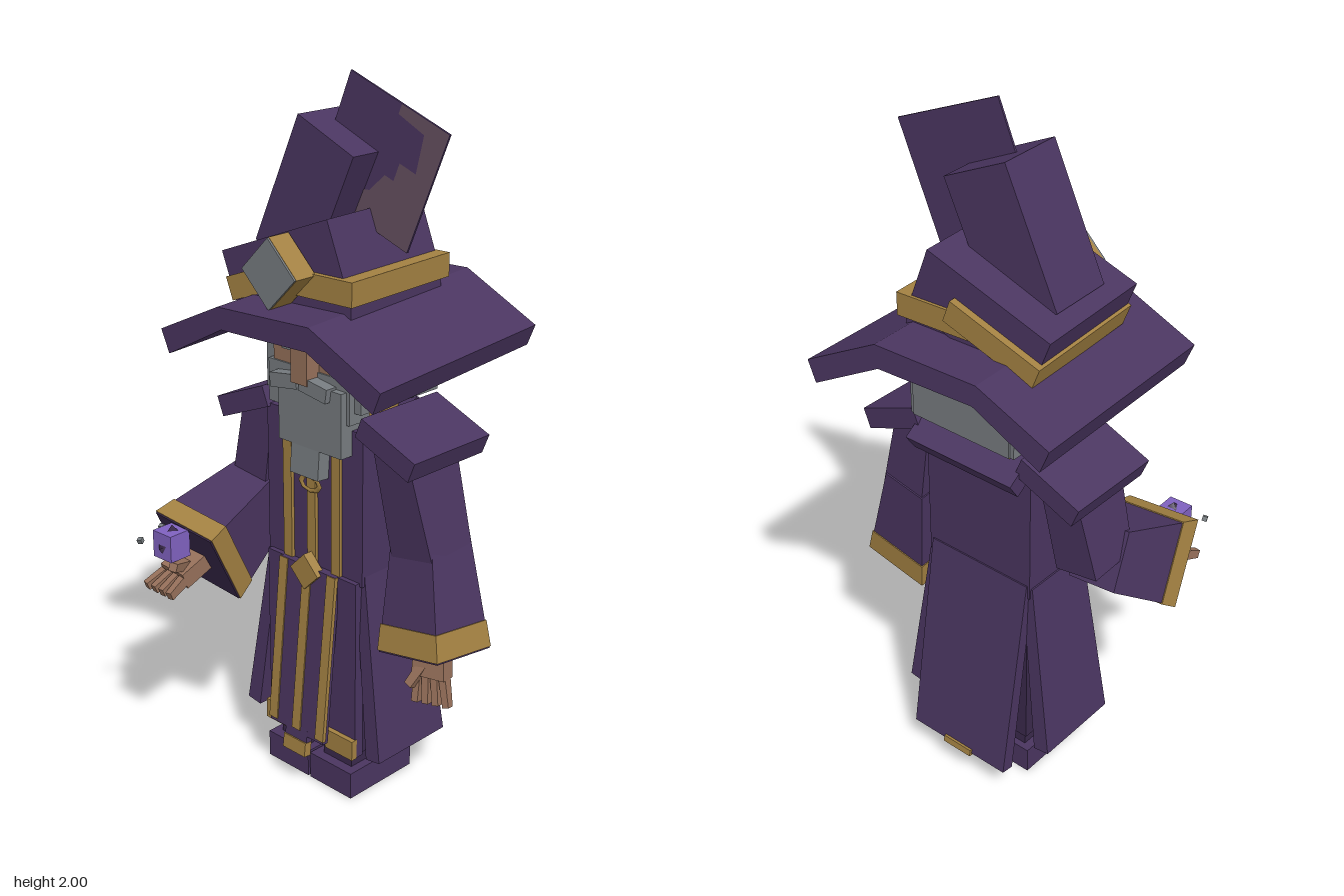
import * as THREE from 'three';

const mat = (name, color) => Object.assign(new THREE.MeshStandardMaterial({ color }), { name });
const purple = mat('robe purple', 0x4a3560);
const shade = mat('inner robe purple', 0x3a294c);
const gold = mat('trim gold', 0xa38142);
const grey = mat('hair grey', 0x777c80);
const skin = mat('skin', 0x96705a);
const lining = mat('faded cloth', 0x65505f);
const violet = mat('crystal violet', 0x8062c0);

export function createModel() {
  const root = new THREE.Group();
  root.name = 'wizard';

  function add(name, geometry, material, parent = root) {
    const m = new THREE.Mesh(geometry, material);
    m.name = name;
    parent.add(m);
    return m;
  }
  // Box by centre, size and rotation
  function box(name, material, [x, y, z], size, rot = [0, 0, 0], parent = root) {
    const m = add(name, new THREE.BoxGeometry(...size), material, parent);
    m.position.set(x, y, z);
    m.rotation.set(...rot);
    return m;
  }
  // Box by its limits
  function span(name, material, x0, x1, y0, y1, z0, z1) {
    return box(name, material, [(x0 + x1) / 2, (y0 + y1) / 2, (z0 + z1) / 2], [x1 - x0, y1 - y0, z1 - z0]);
  }
  // Tapered box running from p to q; s0 and s1 are [width, depth] at the ends
  function beam(name, material, p, q, s0, s1 = s0, side = [1, 0, 0]) {
    const a = new THREE.Vector3(...p), b = new THREE.Vector3(...q);
    const len = a.distanceTo(b);
    const g = new THREE.BoxGeometry(1, len, 1);
    const pos = g.attributes.position;
    for (let i = 0; i < pos.count; i++) {
      const s = pos.getY(i) > 0 ? s1 : s0;
      pos.setX(i, pos.getX(i) * s[0]);
      pos.setZ(i, pos.getZ(i) * s[1]);
    }
    g.computeVertexNormals();
    const m = add(name, g, material);
    const yAxis = b.clone().sub(a).normalize();
    const zAxis = new THREE.Vector3(...side).cross(yAxis).normalize();
    const xAxis = yAxis.clone().cross(zAxis);
    m.quaternion.setFromRotationMatrix(new THREE.Matrix4().makeBasis(xAxis, yAxis, zAxis));
    m.position.copy(a).add(b).multiplyScalar(0.5);
    return m;
  }
  const mix = (p, q, t) => p.map((v, i) => v + (q[i] - v) * t);
  const MID = -0.018; // body centre line

  // Shoes, ankles and inner robe
  for (const s of [-1, 1]) {
    const c = MID + s * 0.085;
    span('shoe', purple, c - 0.081, c + 0.081, 0, 0.08, -0.14, 0.11);
    span('ankle', shade, c - 0.055, c + 0.055, 0.07, 0.14, -0.12, 0.08);
  }
  span('innerRobe', shade, -0.17, 0.135, 0.12, 0.7, -0.13, 0.075);
  span('torso', purple, -0.195, 0.165, 0.66, 1.1, -0.15, 0.085);

  // Skirt panels
  span('frontSkirt', purple, -0.185, 0.155, 0.13, 0.67, 0.07, 0.1);
  for (const s of [-1, 1]) {
    beam('sideSkirt', purple, [MID + s * 0.165, 0.69, -0.035], [MID + s * 0.24, 0.15, -0.035],
      [0.035, 0.22], [0.05, 0.27]);
    span('frontHem', gold, MID + s * 0.12 - 0.05, MID + s * 0.12 + 0.055, 0.13, 0.19, 0.095, 0.115);
  }
  beam('backSkirt', purple, [MID, 0.7, -0.14], [MID, 0.08, -0.235], [0.34, 0.03], [0.34, 0.04]);
  box('backHem', gold, [MID, 0.085, -0.245], [0.1, 0.02, 0.035], [0.15, 0, 0]);

  // Hanging front strip with gold stripes
  beam('frontStrip', purple, [MID, 0.67, 0.1], [MID, 0.17, 0.15], [0.21, 0.02]);
  beam('stripTip', purple, [MID, 0.19, 0.148], [MID, 0.11, 0.157], [0.085, 0.02]);
  beam('stripTipTrim', gold, [MID, 0.15, 0.155], [MID, 0.108, 0.16], [0.087, 0.024]);
  for (const x of [-0.092, 0, 0.092]) {
    span('chestStripe', gold, MID + x - 0.016, MID + x + 0.016, 0.67, 1.05, 0.08, 0.095);
    beam('skirtStripe', gold, [MID + x, 0.67, 0.107], [MID + x, 0.18, 0.157], [0.032, 0.012]);
  }
  box('buckle', gold, [MID, 0.66, 0.11], [0.075, 0.075, 0.03], [0, 0, Math.PI / 4]);
  const ring = add('chestRing', new THREE.TorusGeometry(0.032, 0.009, 4, 8), gold);
  ring.position.set(MID, 0.915, 0.098);
  ring.scale.set(1.1, 0.65, 0.6);

  // Collar
  for (const s of [-1, 1]) {
    beam('shoulderFlap', purple, [MID + s * 0.175, 1.12, -0.052], [MID + s * 0.36, 1.045, -0.052], [0.06, 0.295],
      [0.06, 0.295]);
  }
  beam('backFlap', purple, [MID, 1.13, -0.11], [MID, 1.055, -0.22], [0.36, 0.055]);
  span('neckBand', gold, -0.15, 0.115, 1.08, 1.17, -0.18, 0.03);

  // Head, face and beard
  span('head', grey, -0.16, 0.13, 1.17, 1.42, -0.2, 0.08);
  span('face', skin, -0.15, 0.12, 1.2, 1.4, 0.07, 0.1);
  for (const s of [-1, 1]) {
    span('sideHair', grey, MID + s * 0.157 - 0.018, MID + s * 0.157 + 0.018, 1.15, 1.33, -0.215, 0.085);
    box('eye', grey, [MID + s * 0.075, 1.29, 0.101], [0.045, 0.025, 0.006]);
    box('eyebrow', lining, [MID + s * 0.075, 1.325, 0.102], [0.085, 0.018, 0.008], [0, 0, s * 0.15]);
    box('moustache', grey, [MID + s * 0.055, 1.205, 0.125], [0.1, 0.04, 0.035], [0, 0, -s * 0.15]);
  }
  span('backHair', grey, -0.18, 0.145, 1.15, 1.36, -0.22, -0.18);
  span('nose', skin, -0.04, 0.02, 1.21, 1.32, 0.09, 0.145);
  span('upperBeard', grey, -0.165, 0.135, 1.12, 1.24, 0.03, 0.105);
  span('beard', grey, -0.108, 0.125, 1.03, 1.21, 0.05, 0.125);
  box('beardTip', grey, [-0.01, 1.0, 0.105], [0.105, 0.11, 0.04], [-0.08, 0, 0]);

  // Sleeve with gold cuff and dark opening
  function sleeve(p, q, s0, s1, side) {
    const at = (t) => [0, 1].map((i) => s0[i] + (s1[i] - s0[i]) * t);
    const grow = (s) => s.map((v) => v + 0.006);
    beam('sleeve', purple, p, q, s0, s1, side);
    beam('cuff', gold, mix(p, q, 0.78), mix(p, q, 1.005), grow(at(0.78)), grow(s1), side);
    beam('cuffOpening', shade, q, mix(p, q, 1.02), s1, s1, side);
  }
  // Palm, four fingers and a thumb; n is the spread direction of the fingers
  function hand(wrist, knuckle, tip, n, thumb) {
    beam('palm', skin, wrist, knuckle, [0.09, 0.05], [0.1, 0.05], n);
    for (let i = 0; i < 4; i++) {
      const k = (i - 1.5) * 0.026, shift = (p, f) => p.map((v, j) => v + n[j] * k * f);
      beam('finger', skin, shift(knuckle, 1), shift(tip, 1.25), [0.021, 0.03], [0.019, 0.024], n);
    }
    beam('thumb', skin, mix(wrist, knuckle, 0.4), thumb, [0.03, 0.03], [0.024, 0.024], n);
  }

  // Lowered left arm
  beam('upperArm', purple, [0.232, 1.08, -0.035], [0.29, 0.77, -0.05], [0.115, 0.19], [0.145, 0.16]);
  sleeve([0.277, 0.82, -0.06], [0.335, 0.505, -0.018], [0.14, 0.15], [0.21, 0.21], [1, 0.2, 0]);
  hand([0.335, 0.54, -0.015], [0.345, 0.43, 0.0], [0.36, 0.355, 0.015], [0.97, 0.1, -0.2], [0.3, 0.4, 0.04]);

  // Raised right arm
  beam('upperArm', purple, [-0.258, 1.08, -0.035], [-0.312, 0.78, -0.02], [0.115, 0.19], [0.135, 0.16]);
  sleeve([-0.31, 0.785, 0], [-0.317, 0.655, 0.245], [0.15, 0.17], [0.225, 0.25], [1, -0.1, 0]);
  hand([-0.32, 0.65, 0.24], [-0.325, 0.615, 0.33], [-0.325, 0.59, 0.39], [1, 0, 0], [-0.28, 0.67, 0.37]);

  // Floating crystal and sparks
  box('crystal', violet, [-0.322, 0.72, 0.337], [0.072, 0.078, 0.07], [0, 0.03, 0]);
  const shard = add('crystalShard', new THREE.ConeGeometry(0.022, 0.02, 3), shade);
  shard.position.set(-0.32, 0.765, 0.335);
  const frontShard = add('crystalShard', new THREE.ConeGeometry(0.022, 0.016, 3), shade);
  frontShard.position.set(-0.32, 0.715, 0.376);
  frontShard.rotation.x = Math.PI / 2;
  box('spark', grey, [-0.392, 0.722, 0.39], [0.014, 0.014, 0.014], [0.4, 0.4, 0]);
  box('spark', grey, [-0.398, 0.735, 0.308], [0.014, 0.014, 0.014], [0.4, 0.4, 0]);

  // Folded hat brim
  const TURN = 0.067;
  const brimShape = new THREE.Shape([
    [-0.375, -0.07], [-0.35, -0.135], [-0.15, -0.03], [0.14, -0.03],
    [0.35, -0.145], [0.375, -0.085], [0.15, 0.035], [-0.16, 0.03],
  ].map(([x, y]) => new THREE.Vector2(x, y)));
  const brimGeo = new THREE.ExtrudeGeometry(brimShape, { depth: 0.655, bevelEnabled: false });
  brimGeo.translate(0, 0, -0.3275);
  const brim = add('hatBrim', brimGeo, purple);
  brim.position.set(MID, 1.4, -0.048);
  brim.rotation.set(0.03, TURN, 0);

  // Hat crown, leaning one way and then the other
  box('crownFoot', purple, [-0.01, 1.45, -0.04], [0.33, 0.1, 0.37], [0, TURN, 0]);
  box('crownBase', purple, [-0.075, 1.505, -0.04], [0.39, 0.185, 0.375], [0, TURN, 0.36]);
  box('hatBand', gold, [-0.13, 1.475, -0.045], [0.285, 0.065, 0.4], [0, TURN, 0.36]);
  box('hatBand', gold, [0.06, 1.487, -0.045], [0.22, 0.065, 0.4], [0, TURN, 0]);
  box('crownTop', purple, [-0.072, 1.675, -0.03], [0.205, 0.38, 0.195], [0, TURN * 0.6, -0.428]);

  // Hat badge
  box('badge', gold, [-0.035, 1.515, 0.185], [0.135, 0.135, 0.07], [0, TURN * 0.4, Math.PI / 4]);
  box('badgeFace', grey, [-0.034, 1.515, 0.222], [0.133, 0.133, 0.008], [0, TURN * 0.4, Math.PI / 4]);

  // Thin hat tip with a faded patch
  const tip = new THREE.Group();
  tip.name = 'hatTip';
  tip.position.set(0.102, 1.78, -0.037);
  tip.rotation.set(0, TURN, -0.385);
  root.add(tip);
  box('tipCloth', purple, [0, 0, 0], [0.335, 0.335, 0.006], [0, 0, 0], tip);
  const patch = new THREE.Shape([
    [0.167, 0.167], [0.01, 0.167], [0.01, 0.14], [0.1, 0.13], [0.115, 0.03], [0.06, 0.03],
    [0.06, -0.02], [0.03, -0.02], [0.0, -0.08], [-0.05, -0.1], [-0.05, -0.167], [0.167, -0.167],
  ].map(([x, y]) => new THREE.Vector2(x, y)));
  add('tipPatch', new THREE.ShapeGeometry(patch), lining, tip).position.z = 0.005;

  return root;
}
